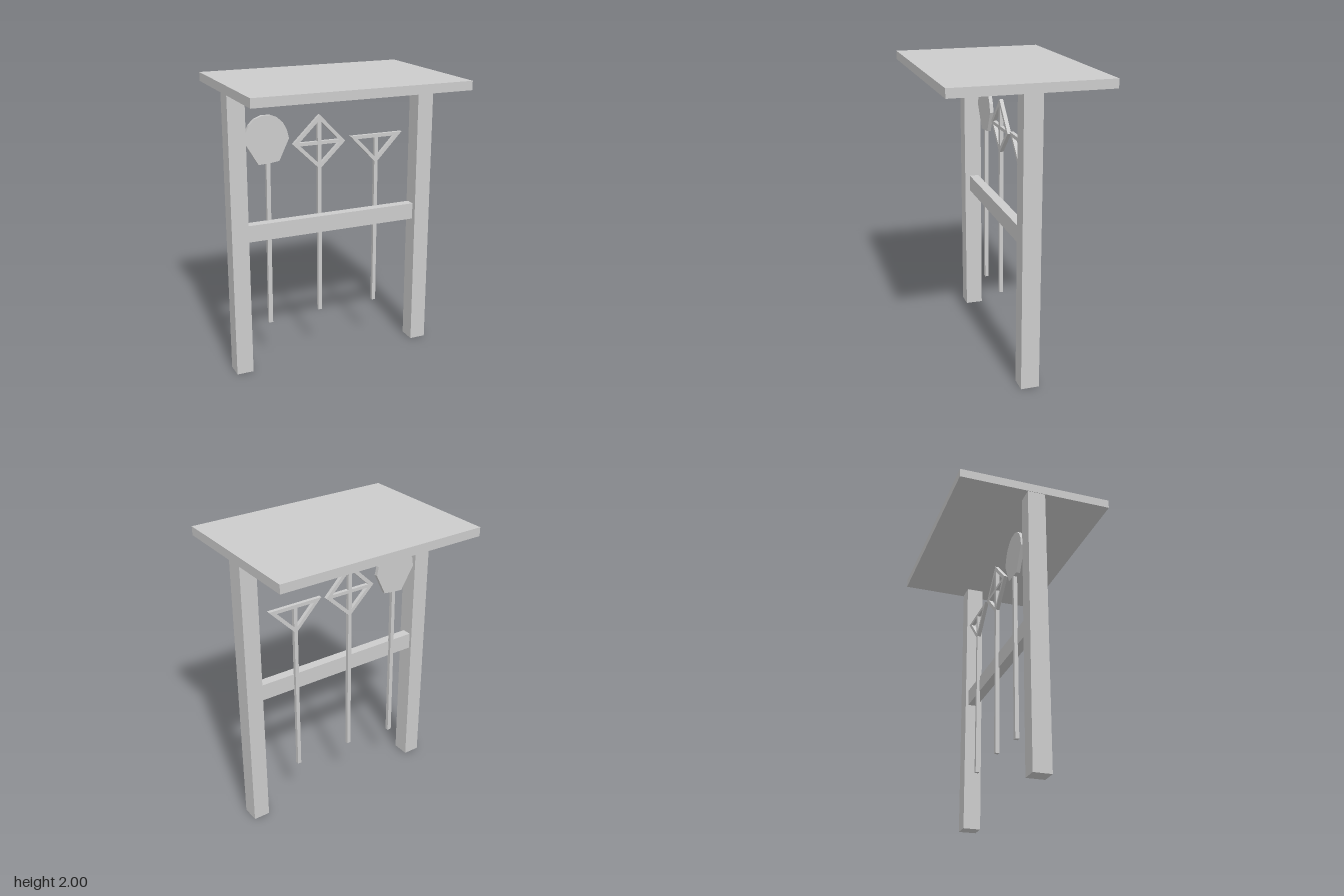
import * as THREE from 'three';

const material = new THREE.MeshStandardMaterial({ color: 0xcccccc, flatShading: true });

// Box given by its min and max corners
function box(name, [x0, y0, z0], [x1, y1, z1]) {
  const mesh = new THREE.Mesh(new THREE.BoxGeometry(x1 - x0, y1 - y0, z1 - z0), material);
  mesh.position.set((x0 + x1) / 2, (y0 + y1) / 2, (z0 + z1) / 2);
  mesh.name = name;
  return mesh;
}

const BACK = -0.062, FRONT = -0.036; // depth range of the hanging tools

// Flat plate cut from an outline, with an optional inner hole
function plate(name, outline, hole) {
  const toPoints = (list) => list.map(([x, y]) => new THREE.Vector2(x, y));
  const shape = new THREE.Shape(toPoints(outline));
  if (hole) shape.holes.push(new THREE.Path(toPoints(hole)));
  const geometry = new THREE.ExtrudeGeometry(shape, { depth: FRONT - BACK, bevelEnabled: false });
  const mesh = new THREE.Mesh(geometry, material);
  mesh.position.z = BACK;
  mesh.name = name;
  return mesh;
}

// Frame: the hole is the outline shrunk towards a centre
function frame(name, outline, [cx, cy], scale) {
  const hole = outline.map(([x, y]) => [cx + (x - cx) * scale, cy + (y - cy) * scale]);
  return plate(name, outline, hole);
}

function tool(name, ...parts) {
  const group = new THREE.Group();
  group.name = name;
  group.add(...parts);
  return group;
}

export function createModel() {
  const model = new THREE.Group();
  model.name = 'toolStand';

  // Roof, posts and rail
  model.add(
    box('roof', [-0.745, 1.94, -0.53], [0.742, 2, 0.53]),
    box('rightPost', [-0.742, 0, -0.06], [-0.625, 1.94, 0.063]),
    box('leftPost', [0.62, 0, -0.06], [0.735, 1.94, 0.063]),
    box('crossRail', [-0.625, 0.94, -0.04], [0.62, 1.055, 0.027]),
  );

  // Shovel with a rounded blade and slightly leaning handle
  model.add(tool('shovel',
    plate('shovelBlade', [
      [-0.51, 1.445], [-0.43, 1.45], [-0.365, 1.458], [-0.294, 1.605], [-0.308, 1.665],
      [-0.335, 1.715], [-0.375, 1.752], [-0.42, 1.77], [-0.48, 1.77], [-0.53, 1.752],
      [-0.57, 1.715], [-0.595, 1.665], [-0.605, 1.605],
    ]),
    plate('shovelHandle', [
      [-0.466, 0.297], [-0.436, 0.297], [-0.429, 1.46], [-0.456, 1.46],
    ]),
  ));

  // Diamond-shaped beater with a crossed frame
  model.add(tool('diamondBeater',
    frame('diamondFrame',
      [[-0.073, 1.37], [0.115, 1.55], [-0.073, 1.745], [-0.266, 1.557]], [-0.074, 1.554], 0.81),
    box('diamondHandle', [-0.088, 0.328, BACK], [-0.061, 1.715, FRONT]),
    box('diamondCrossbar', [-0.24, 1.541, BACK], [0.09, 1.564, FRONT]),
  ));

  // Triangular beater
  model.add(tool('triangleBeater',
    frame('triangleFrame', [[0.352, 1.37], [0.549, 1.575], [0.155, 1.575]], [0.352, 1.491], 0.71),
    box('triangleHandle', [0.34, 0.328, BACK], [0.366, 1.56, FRONT]),
  ));

  return model;
}
